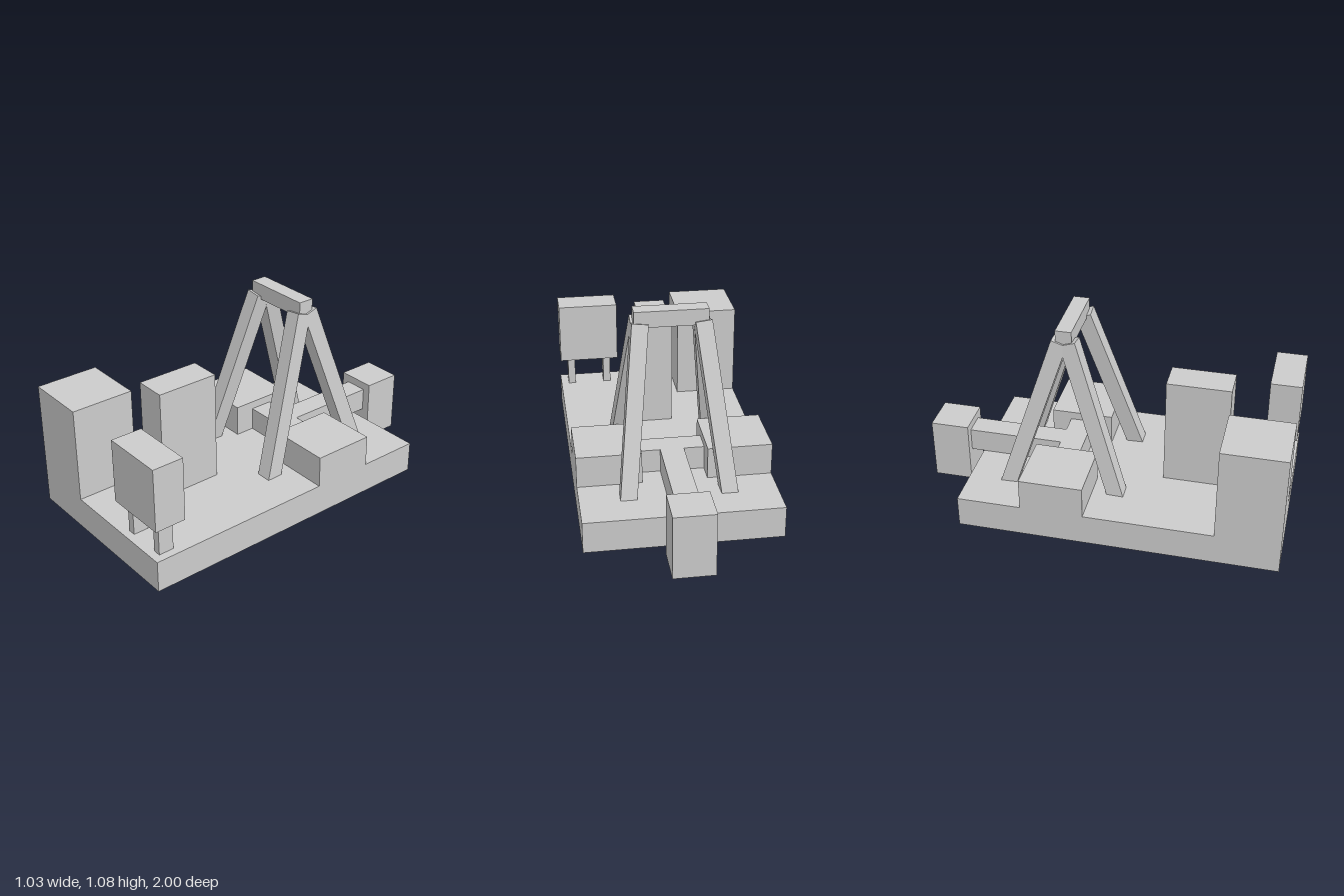
import * as THREE from 'three';

const material = new THREE.MeshStandardMaterial({ color: 0xcccccc, flatShading: true });

// Box given by its [min, max] range on each axis
function block(name, [x0, x1], [y0, y1], [z0, z1]) {
  const mesh = new THREE.Mesh(new THREE.BoxGeometry(x1 - x0, y1 - y0, z1 - z0), material);
  mesh.name = name;
  mesh.position.set((x0 + x1) / 2, (y0 + y1) / 2, (z0 + z1) / 2);
  return mesh;
}

export function createModel() {
  const group = new THREE.Group();
  const deck = 0.172;

  group.add(block('base', [-0.515, 0.515], [0, deck], [-0.72, 1]));

  // Front blocks
  group.add(block('cornerTower', [-0.515, -0.172], [deck, 0.69], [0.656, 1]));
  group.add(block('centreTower', [-0.086, 0.086], [deck, 0.775], [0.313, 0.656]));

  // Panel raised on two posts
  group.add(block('panel', [0.172, 0.515], [0.345, 0.69], [0.83, 1]));
  for (const x of [0.235, 0.45]) {
    group.add(block('panelPost', [x - 0.021, x + 0.021], [deck, 0.345], [0.874, 0.957]));
  }

  // Side blocks under the frame
  for (const s of [-1, 1]) {
    const side = block('sideBlock', [0.172, 0.515], [deck, 0.345], [-0.375, -0.035]);
    side.position.x *= s;
    group.add(side);
  }

  // T-shaped arm reaching back to the hanging weight
  group.add(block('armCrossbar', [-0.172, 0.172], [deck, 0.301], [-0.27, -0.143]));
  group.add(block('arm', [-0.063, 0.063], [deck, 0.301], [-0.79, -0.27]));
  group.add(block('rearWeight', [-0.108, 0.108], [0, 0.345], [-1, -0.79]));

  // Four splayed legs, mirrored in x and z about the beam
  const beamZ = -0.203;
  const foot = new THREE.Vector3(0.266, 0.12, 0.107);
  const top = new THREE.Vector3(0.162, 1.006, -0.18);
  const dir = top.clone().sub(foot);
  const tiltX = Math.atan2(dir.z, dir.y);
  const tiltZ = Math.atan2(-dir.x, Math.hypot(dir.y, dir.z));
  const legGeometry = new THREE.BoxGeometry(0.086, dir.length(), 0.086);
  const mid = foot.clone().add(top).multiplyScalar(0.5);
  for (const sx of [-1, 1]) {
    for (const sz of [-1, 1]) {
      const leg = new THREE.Mesh(legGeometry, material);
      leg.name = sz > 0 ? 'frontLeg' : 'backLeg';
      leg.position.set(sx * mid.x, mid.y, beamZ + sz * (mid.z - beamZ));
      leg.rotation.set(sz * tiltX, 0, sx * tiltZ);
      group.add(leg);
    }
  }
  group.add(block('topBeam', [-0.192, 0.192], [0.99, 1.076], [beamZ - 0.043, beamZ + 0.043]));

  return group;
}
